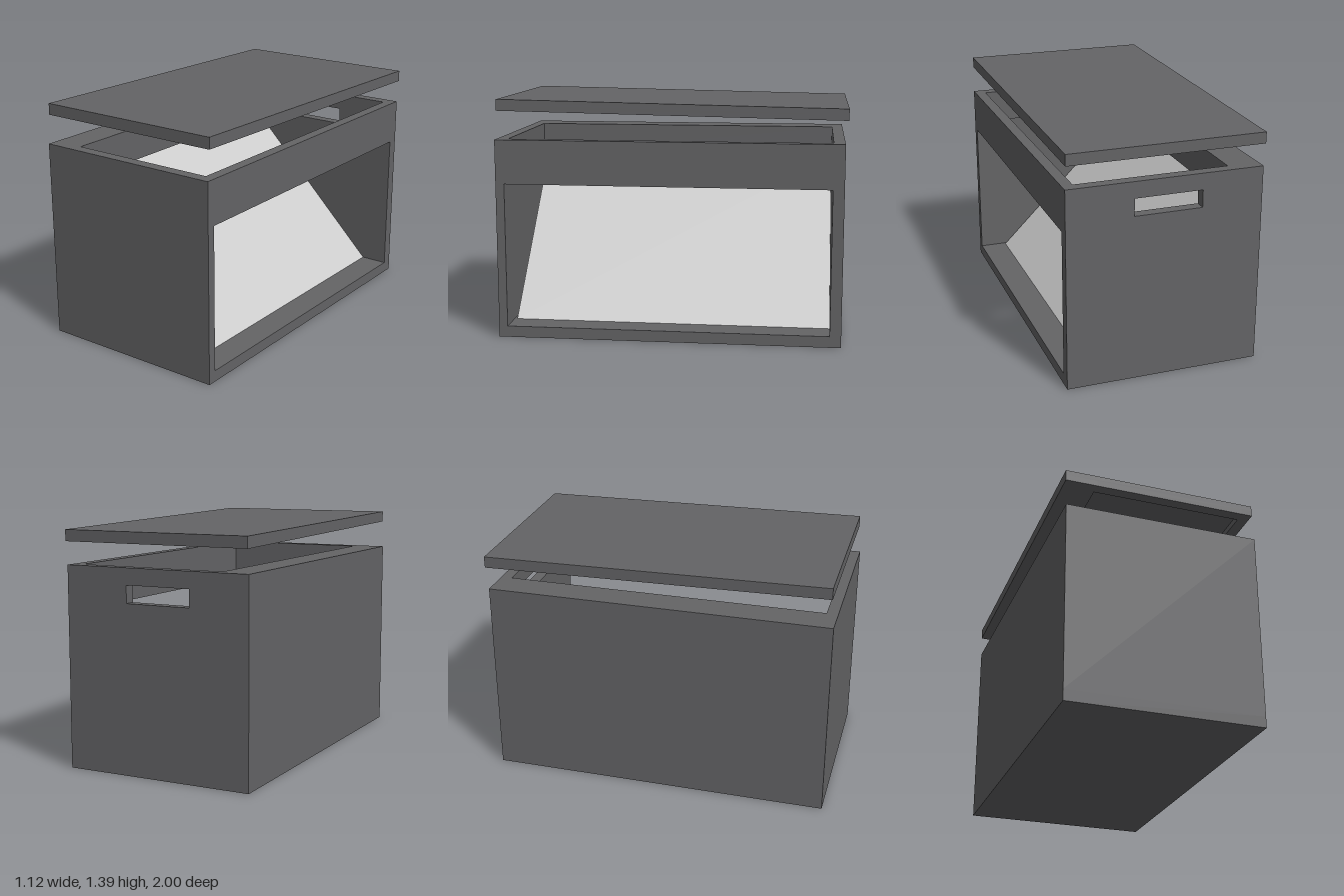
import * as THREE from 'three';

const W = 0.5625, TOP = 1.16, FRONT = 1.0, BACK = -0.985;

export function createModel() {
  const group = new THREE.Group();
  const dark = new THREE.MeshStandardMaterial({ color: 0x646466 });
  const light = new THREE.MeshStandardMaterial({ color: 0xcccccc });

  const add = (name, geometry, parent = group, material = dark) => {
    const mesh = new THREE.Mesh(geometry, material);
    mesh.name = name;
    parent.add(mesh);
    return mesh;
  };

  // Box given by its limits on each axis
  const block = (name, [x0, x1], [y0, y1], [z0, z1], parent) => {
    const mesh = add(name, new THREE.BoxGeometry(x1 - x0, y1 - y0, z1 - z0), parent);
    mesh.position.set((x0 + x1) / 2, (y0 + y1) / 2, (z0 + z1) / 2);
    return mesh;
  };

  const rect = (path, x0, x1, y0, y1) =>
    path.moveTo(x0, y0).lineTo(x1, y0).lineTo(x1, y1).lineTo(x0, y1).closePath();

  // Shell: floor, solid side, front, and rail over the open side
  block('floor', [-W, W], [0, 0.065], [BACK, FRONT]);
  block('leftWall', [-W, -0.5], [0.065, TOP], [-0.92, 0.95]);
  block('frontWall', [-W, W], [0.065, TOP], [0.95, FRONT]);
  block('sideRail', [0.5, W], [0.905, TOP], [-0.92, 0.95]);

  // Back wall with a handle slot
  const back = new THREE.Shape();
  rect(back, -W, W, 0.065, TOP);
  const slot = new THREE.Path();
  rect(slot, -0.21, 0.18, 0.965, 1.065);
  back.holes.push(slot);
  const backWall = add('backWall', new THREE.ExtrudeGeometry(back, { depth: 0.065, bevelEnabled: false }));
  backWall.position.z = BACK;

  // Inner rim around the top opening
  block('rimBeam', [-0.5, -0.38], [0.965, TOP], [-0.92, 0.95]);
  block('frontRim', [-0.38, 0.5], [0.965, TOP], [0.935, 0.95]);

  // Sloping chute panel, a thin 45 degree board
  const slope = new THREE.Shape();
  slope.moveTo(0.4, 0.065).lineTo(-0.5, 0.965).lineTo(-0.5, 0.94).lineTo(0.375, 0.065).closePath();
  const panel = add('slopingPanel',
    new THREE.ExtrudeGeometry(slope, { depth: 1.855, bevelEnabled: false }), group, light);
  panel.position.z = -0.92;

  // Raised lid, slightly tilted, with a shallow recess underneath
  const lid = new THREE.Group();
  lid.name = 'lid';
  lid.position.set(0, 1.341, -0.0075);
  lid.rotation.x = -0.0175;
  group.add(lid);
  const L = 0.9925;
  block('lidTop', [-W, W], [0.0025, 0.0325], [-L, L], lid);
  const under = [-0.0325, 0.0025];
  block('lidLeftEdge', [-W, -0.38], under, [-L, L], lid);
  block('lidRightEdge', [0.5, W], under, [-L, L], lid);
  block('lidFrontEdge', [-0.38, 0.5], under, [0.93, L], lid);
  block('lidBackEdge', [-0.38, 0.5], under, [-L, -0.93], lid);

  return group;
}
